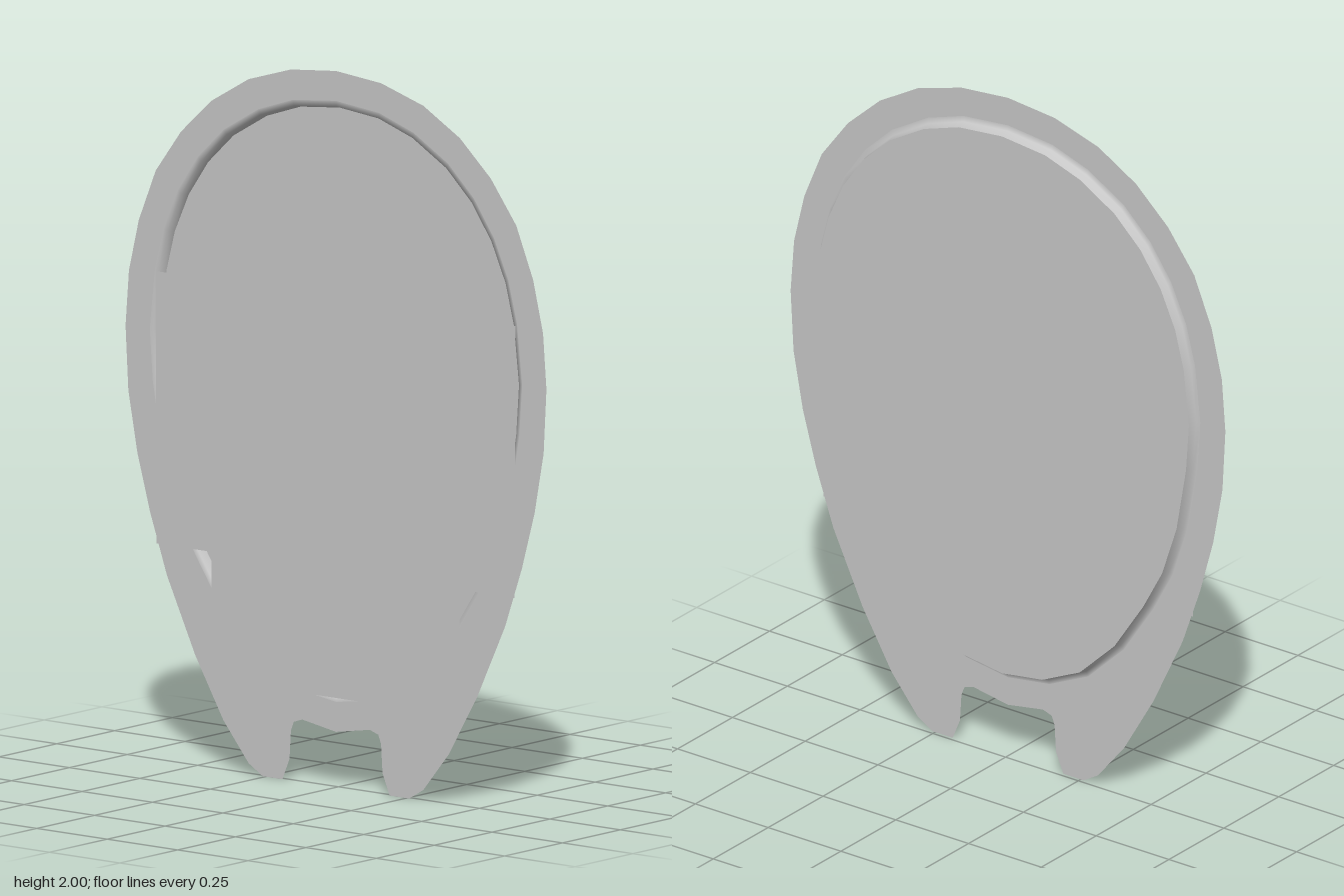
import * as THREE from 'three';

const grey = new THREE.MeshStandardMaterial({ color: 0xc7c7c7, side: THREE.DoubleSide });
grey.name = 'plain grey';

const CENTRE_Y = 1.08;

// Right half of an outline, top to bottom, mirrored into a closed loop
function mirrored(half) {
  const left = half.filter(([x]) => x > 0).map(([x, y]) => [-x, y]).reverse();
  return [...half, ...left].map(([x, y]) => new THREE.Vector2(x, y));
}

const scaled = (loop, s) =>
  loop.map((p) => new THREE.Vector2(p.x * s, CENTRE_Y + (p.y - CENTRE_Y) * s));

function named(name, geometry) {
  const mesh = new THREE.Mesh(geometry, grey);
  mesh.name = name;
  return mesh;
}

// Flat sheet at depth z, with an optional hole
function sheet(name, outline, z, hole) {
  const shape = new THREE.Shape(outline);
  if (hole) shape.holes.push(new THREE.Path(hole));
  return named(name, new THREE.ShapeGeometry(shape).translate(0, 0, z));
}

// Smooth band joining loops of equal length, each given as [loop, z]
function band(name, rings) {
  const n = rings[0][0].length;
  const positions = rings.flatMap(([loop, z]) => loop.flatMap((p) => [p.x, p.y, z]));
  const index = [];
  for (let r = 0; r < rings.length - 1; r++) {
    for (let i = 0; i < n; i++) {
      const a = r * n + i;
      const b = r * n + (i + 1) % n;
      index.push(a, b, a + n, b, b + n, a + n);
    }
  }
  const geometry = new THREE.BufferGeometry();
  geometry.setAttribute('position', new THREE.Float32BufferAttribute(positions, 3));
  geometry.setIndex(index);
  geometry.computeVertexNormals();
  return named(name, geometry);
}

export function createModel() {
  const group = new THREE.Group();
  group.name = 'flatFigure';

  const silhouette = mirrored([
    [0, 2], [0.16, 1.985], [0.31, 1.94], [0.44, 1.865], [0.55, 1.765],
    [0.64, 1.645], [0.7, 1.5], [0.735, 1.355], [0.747, 1.2], [0.737, 1.02],
    [0.705, 0.85], [0.66, 0.69], [0.6, 0.52], [0.5, 0.31], [0.4, 0.14],
    [0.31, 0.03], [0.26, 0], [0.19, 0], [0.165, 0.06], [0.16, 0.14],
    [0.15, 0.165], [0.12, 0.175], [0, 0.155],
  ]);
  const opening = mirrored([
    [0, 1.9], [0.15, 1.885], [0.27, 1.845], [0.39, 1.775], [0.48, 1.69],
    [0.55, 1.59], [0.6, 1.48], [0.63, 1.365], [0.648, 1.2], [0.638, 1.06],
    [0.605, 0.87], [0.555, 0.72], [0.49, 0.6], [0.39, 0.45], [0.27, 0.335],
    [0.14, 0.275], [0, 0.255],
  ]);
  const lip = scaled(opening, 1.02);
  const floor = scaled(opening, 0.992);

  // Thin rim with two feet, and the shallow dish pressed into it
  group.add(sheet('rimAndFeet', silhouette, 0.011, lip));
  group.add(band('dishWall', [[lip, 0.011], [opening, 0.009], [floor, -0.017]]));
  group.add(sheet('dishFloor', floor, -0.017));

  // Flat panel across the bottom of the dish
  const hips = mirrored([[0.44, 0.605], [0.44, 0.25]]);
  group.add(sheet('lowerPanel', hips, 0.013));

  // Stepped side panels and square eyes, one on each side
  const arm = [
    [0.415, 0.605], [0.635, 0.605], [0.638, 1.365], [0.505, 1.365],
    [0.505, 1.515], [0.335, 1.515], [0.335, 1.37], [0.415, 1.37],
  ];
  const eye = [[0.12, 1.63], [0.187, 1.63], [0.187, 1.7], [0.12, 1.7]];
  for (const [side, s] of [['left', 1], ['right', -1]]) {
    const flip = (pts) => pts.map(([x, y]) => new THREE.Vector2(s * x, y));
    group.add(sheet(`${side}Arm`, flip(arm), 0.013));
    group.add(sheet(`${side}Eye`, flip(eye), 0.013));
  }

  return group;
}
